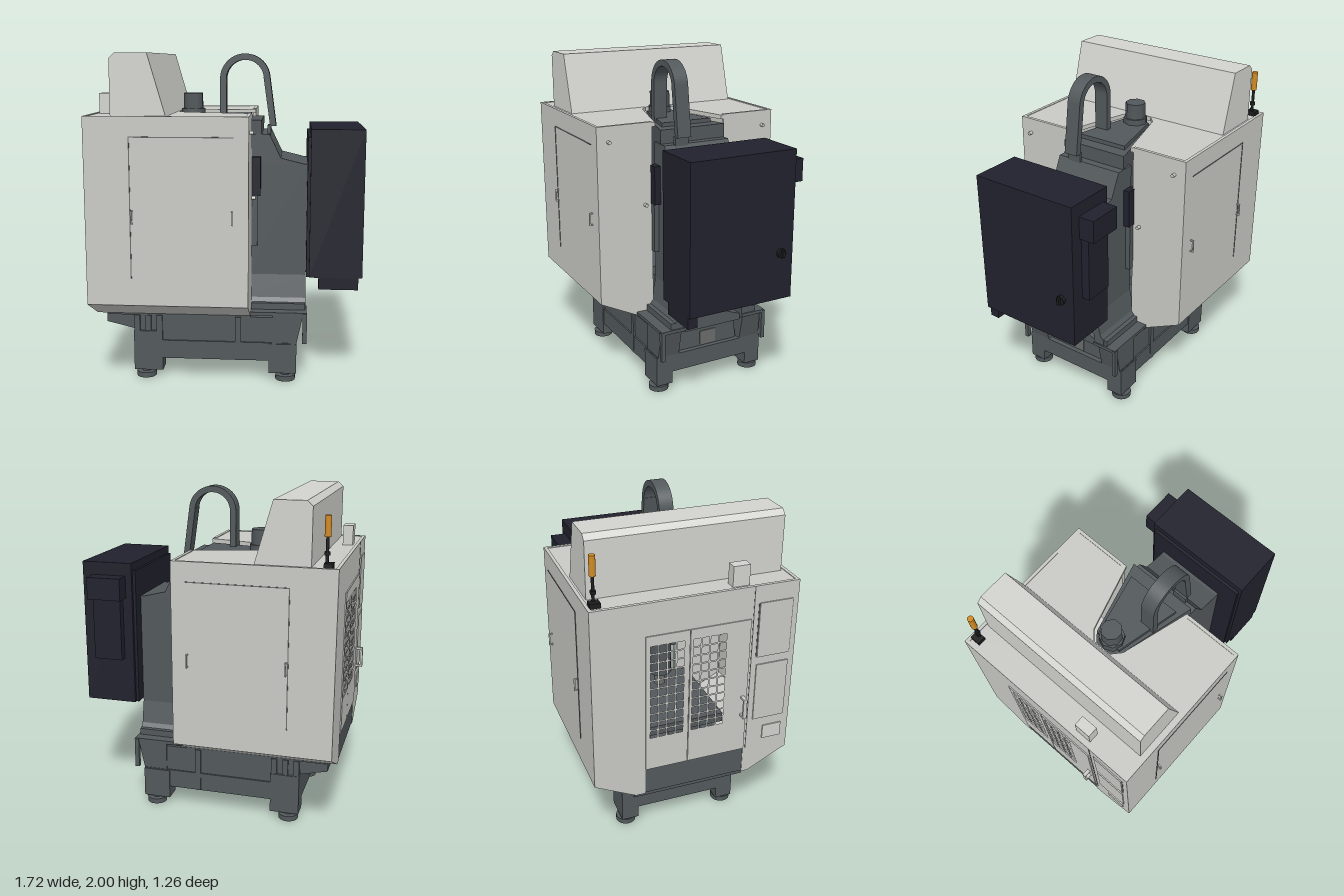
import * as THREE from 'three';

const mat = (name, color) => new THREE.MeshStandardMaterial({ name, color });

export function createModel() {
  const model = new THREE.Group();
  model.name = 'machiningCentre';
  const panel = mat('panelGrey', 0xc9c9c5);
  const hoodGrey = mat('hoodGrey', 0xd2d2ce);
  const iron = mat('ironGrey', 0x52585b);
  const navy = mat('cabinetNavy', 0x21212d);
  const black = mat('black', 0x1c1c1e);
  const orange = mat('lampOrange', 0xd08a22);
  const seam = mat('seamGrey', 0x6a6c6c);

  const add = (name, geo, material) => {
    const m = new THREE.Mesh(geo, material);
    m.name = name;
    model.add(m);
    return m;
  };
  // box given by its low and high limits on each axis
  const box = (name, material, x0, x1, y0, y1, z0, z1) =>
    add(name, new THREE.BoxGeometry(x1 - x0, y1 - y0, z1 - z0)
      .translate((x0 + x1) / 2, (y0 + y1) / 2, (z0 + z1) / 2), material);
  const shapeOf = (pts, holes = []) => {
    const s = new THREE.Shape(pts.map(p => new THREE.Vector2(...p)));
    s.holes = holes.map(h => new THREE.Path(h.map(p => new THREE.Vector2(...p))));
    return s;
  };
  const extrude = (shape, depth) => new THREE.ExtrudeGeometry(shape, { depth, bevelEnabled: false, curveSegments: 16 });
  const flip = pts => pts.map(([a, b]) => [-a, b]);
  // (z, y) outline pushed along x
  const alongX = (name, material, pts, x0, x1, holes = []) =>
    add(name, extrude(shapeOf(flip(pts), holes.map(flip)), x1 - x0).rotateY(Math.PI / 2).translate(x0, 0, 0), material);
  // (x, z) outline pushed along y
  const alongY = (name, material, pts, y0, y1) =>
    add(name, extrude(shapeOf(pts.map(([x, z]) => [x, -z])), y1 - y0).rotateX(-Math.PI / 2).translate(0, y0, 0), material);
  // (x, y) outline pushed along z
  const alongZ = (name, material, pts, z0, z1) =>
    add(name, extrude(shapeOf(pts), z1 - z0).translate(0, 0, z0), material);
  const rect = (a0, a1, b0, b1) => [[a0, b0], [a1, b0], [a1, b1], [a0, b1]];
  const rod = (name, material, r, h, x, y, z, sides = 20, axis = 'y') => {
    const g = new THREE.CylinderGeometry(r, r, h, sides);
    if (axis === 'x') g.rotateZ(Math.PI / 2);
    return add(name, g.translate(x, y, z), material);
  };

  // Enclosure: side walls with tapered skirts, rear panels and floor
  for (const s of [-1, 1]) {
    const m = pts => pts.map(([z, y]) => [z * s, y]);
    alongX('sideWall', panel, m([[0.608, 1.645], [0.608, 0.535], [0.36, 0.41], [0.36, 0.435], [0.588, 0.55], [0.588, 1.645]]), -0.805, 0.145);
    alongX('rearPanel', panel, m([[0.6, 1.645], [0.6, 0.54], [0.36, 0.42], [0.25, 0.42], [0.25, 1.645]]), 0.125, 0.145);
    // service door seams and pull handles
    const zs = s * 0.609;
    box('doorSeam', seam, -0.544, -0.538, 0.7, 1.53, zs - 0.002, zs + 0.002);
    box('doorSeam', seam, -0.544, 0.06, 1.524, 1.53, zs - 0.002, zs + 0.002);
    for (const x of [-0.53, 0.05]) {
      box('sideHandle', panel, x - 0.004, x + 0.004, 1.025, 1.105, s * 0.627 - 0.004, s * 0.627 + 0.004);
      for (const y of [1.029, 1.101])
        box('sideHandleEnd', panel, x - 0.004, x + 0.004, y - 0.004, y + 0.004, s * 0.617 - 0.012, s * 0.617 + 0.012);
    }
    rod('rearPeg', panel, 0.011, 0.025, 0.157, 1.55, s * 0.535, 12, 'x');
    rod('rearPeg', panel, 0.011, 0.025, 0.157, 1.135, s * 0.3, 12, 'x');
  }
  box('floor', iron, -0.74, 0.145, 0.4, 0.42, -0.36, 0.36);
  alongY('roof', panel, [[-0.805, -0.606], [0.145, -0.606], [0.145, -0.23], [-0.27, -0.11], [-0.325, -0.06],
    [-0.325, 0.06], [-0.27, 0.11], [0.145, 0.23], [0.145, 0.606], [-0.805, 0.606]], 1.615, 1.641);

  // Front wall with door opening and control panel
  alongX('frontWall', panel, [[-0.608, 1.645], [-0.608, 0.535], [-0.36, 0.41], [-0.3, 0.41], [-0.3, 0.58],
    [0.32, 0.58], [0.32, 0.41], [0.36, 0.41], [0.608, 0.535], [0.608, 1.645]], -0.807, -0.787, [rect(-0.28, 0.19, 0.79, 1.41)]);
  alongZ('frontApron', iron, [[-0.804, 0.58], [-0.804, 0.415], [-0.74, 0.4], [-0.72, 0.4], [-0.72, 0.58]], -0.3, 0.32);
  for (const [z0, z1, w0] of [[-0.3, -0.045, -0.275], [-0.041, 0.32, -0.025]]) {
    const holes = [];
    for (let i = 0; i < 4; i++) for (let j = 0; j < 11; j++) {
      const z = w0 + i * 0.052, y = 0.8 + j * 0.0545;
      holes.push(rect(z, z + 0.042, y, y + 0.044));
    }
    alongX('frontDoor', panel, rect(z0, z1, 0.585, 1.45), -0.814, -0.806, holes);
  }
  box('doorHandleBar', panel, -0.86, -0.848, 0.83, 0.96, 0.28, 0.302);
  for (const y of [0.836, 0.954]) box('doorHandleEnd', panel, -0.85, -0.81, y - 0.006, y + 0.006, 0.28, 0.302);
  box('panelSeam', seam, -0.809, -0.806, 0.58, 1.645, 0.333, 0.338);
  box('controlScreen', panel, -0.814, -0.806, 1.2, 1.54, 0.37, 0.57);
  for (const z of [0.366, 0.574]) box('screenSeam', seam, -0.809, -0.806, 1.2, 1.54, z - 0.003, z + 0.003);
  box('keyPanel', panel, -0.814, -0.806, 0.78, 1.15, 0.37, 0.57);
  box('socketPlate', hoodGrey, -0.814, -0.806, 0.63, 0.72, 0.44, 0.56);

  // Roof hood, junction box and signal lamp
  alongZ('hood', hoodGrey, [[-0.652, 1.63], [-0.652, 1.97], [-0.62, 2], [-0.435, 2], [-0.328, 1.63]], -0.576, 0.57);
  box('junctionBox', hoodGrey, -0.772, -0.71, 1.64, 1.763, 0.215, 0.315);
  box('lampBase', black, -0.77, -0.72, 1.64, 1.67, -0.59, -0.53);
  rod('lampPole', black, 0.009, 0.16, -0.733, 1.74, -0.56, 10);
  rod('lampCollar', black, 0.016, 0.02, -0.733, 1.72, -0.56, 12);
  rod('signalLamp', orange, 0.018, 0.115, -0.733, 1.868, -0.56);

  // Spindle head in the roof notch, motor and spindle
  alongY('spindleHead', iron, [[0.2, -0.22], [-0.26, -0.1], [-0.315, -0.055], [-0.315, 0.055], [-0.26, 0.1], [0.2, 0.22]], 1.1, 1.6);
  alongY('headTop', iron, [[0.12, -0.17], [-0.27, -0.08], [-0.27, 0.08], [0.12, 0.17]], 1.6, 1.625);
  rod('motorFlange', iron, 0.075, 0.06, -0.24, 1.63, 0, 8);
  const motor = rod('spindleMotor', iron, 0.063, 0.12, 0, 0, 0, 8);
  motor.rotation.y = Math.PI / 8;
  motor.position.set(-0.24, 1.695, 0);
  rod('spindle', iron, 0.07, 0.25, -0.24, 1.0, 0);
  rod('toolHolder', seam, 0.035, 0.1, -0.24, 0.84, 0);

  // Work table on a ridged way cover
  box('workTable', iron, -0.55, 0.05, 0.62, 0.68, -0.3, 0.3);
  box('tableSaddle', iron, -0.4, -0.1, 0.42, 0.62, -0.22, -0.12);
  box('tableSaddle', iron, -0.4, -0.1, 0.42, 0.62, 0.12, 0.22);
  alongX('wayCover', iron, [[-0.2, 0.39], [-0.2, 0.43], [0, 0.505], [0.2, 0.43], [0.2, 0.39]], -0.7, 0.46);

  // Column with arched foot and stepped top
  alongX('column', iron, [[-0.22, 1.335], [-0.22, 0.64], [-0.25, 0.5], [-0.275, 0.47], [-0.275, 0.41], [-0.2, 0.41], [-0.2, 0.49], [-0.06, 0.585],
    [0.06, 0.585], [0.2, 0.49], [0.2, 0.41], [0.275, 0.41], [0.275, 0.47], [0.25, 0.5], [0.22, 0.64], [0.22, 1.335]], 0.12, 0.482);
  alongZ('columnTop', iron, [[0.12, 1.33], [0.12, 1.515], [0.25, 1.515], [0.32, 1.37], [0.482, 1.33]], -0.22, 0.22);
  box('columnCap', iron, 0.11, 0.16, 1.5, 1.6, -0.06, 0.06);
  for (const s of [-1, 1]) {
    const z = s * 0.24;
    box('guideBox', navy, 0.125, 0.198, 1.14, 1.38, z - 0.02, z + 0.02);
    box('guideCover', iron, 0.12, 0.18, 0.83, 1.14, z - 0.016, z + 0.016);
  }

  // Cable arch
  const arch = new THREE.Shape();
  arch.moveTo(-0.058, 1.6);
  arch.lineTo(-0.058, 1.845);
  arch.absarc(0.095, 1.845, 0.153, Math.PI, 0.1, true);
  arch.lineTo(0.288, 1.56);
  arch.lineTo(0.25, 1.56);
  arch.lineTo(0.208, 1.855);
  arch.absarc(0.095, 1.845, 0.115, 0.1, Math.PI, false);
  arch.lineTo(-0.02, 1.6);
  add('cableArch', extrude(arch, 0.09).translate(0, 0, 0.06), iron);
  box('cableBracket', iron, 0.235, 0.255, 1.5, 1.565, 0.06, 0.15);

  // Electrical cabinet
  box('cabinet', navy, 0.5, 0.82, 0.66, 1.557, -0.32, 0.362);
  box('cabinetBackPlate', navy, 0.482, 0.5, 0.66, 1.51, -0.3, 0.345);
  box('cableDuct', navy, 0.558, 0.797, 0.587, 0.66, 0.3, 0.362);
  box('coolingUnit', navy, 0.54, 0.755, 1.34, 1.477, -0.417, -0.32);
  box('heatExchanger', navy, 0.56, 0.74, 0.95, 1.34, -0.37, -0.32);
  rod('switchPlate', black, 0.028, 0.02, 0.83, 0.95, -0.235, 16, 'x');
  box('switchKnob', black, 0.835, 0.858, 0.93, 0.972, -0.243, -0.227);

  // Base casting with raised side rails
  box('baseBed', iron, -0.58, 0.43, 0.125, 0.24, -0.365, 0.365);
  box('baseCore', iron, -0.58, 0.3, 0.24, 0.4, -0.355, 0.355);
  alongZ('frontTray', iron, [[-0.75, 0.405], [-0.75, 0.35], [-0.58, 0.31], [-0.58, 0.405]], -0.35, 0.35);
  for (const s of [-1, 1]) {
    const zz = (a, b) => (s > 0 ? [a, b] : [-b, -a]);
    alongZ('sideRail', iron, [[0.28, 0.24], [0.43, 0.24], [0.47, 0.43], [0.28, 0.43]], ...zz(0.22, 0.362));
    box('topFlange', iron, 0.14, 0.49, 0.415, 0.435, ...zz(0.2, 0.366));
    box('railShelf', iron, 0.15, 0.48, 0.435, 0.475, ...zz(0.2, 0.3));
    box('rearBracket', iron, 0.465, 0.492, 0.24, 0.43, ...zz(0.345, 0.37));
    for (const x of [-0.56, -0.49, -0.42, 0.07]) box('sideRib', iron, x - 0.018, x + 0.018, 0.125, 0.4, ...zz(0.35, 0.368));
    // legs, screws and levelling pads
    for (const [x0, x1, top, px] of [[-0.58, -0.4, 0.3, -0.51], [0.26, 0.43, 0.235, 0.362]]) {
      box('leg', iron, x0, x1, 0.048, top, ...zz(0.265, 0.372));
      rod('levellingScrew', iron, 0.028, 0.05, px, 0.045, s * 0.328, 12);
      rod('levellingPad', iron, 0.061, 0.032, px, 0.016, s * 0.328, 24);
    }
  }

  // Chip outlet between the rails
  alongX('chipOutlet', iron, [[-0.21, 0.24], [-0.19, 0.37], [-0.12, 0.395], [0.12, 0.395], [0.19, 0.37], [0.21, 0.24]], 0.28, 0.4);
  box('outletDoor', seam, 0.398, 0.406, 0.25, 0.34, -0.055, 0.055);
  return model;
}
